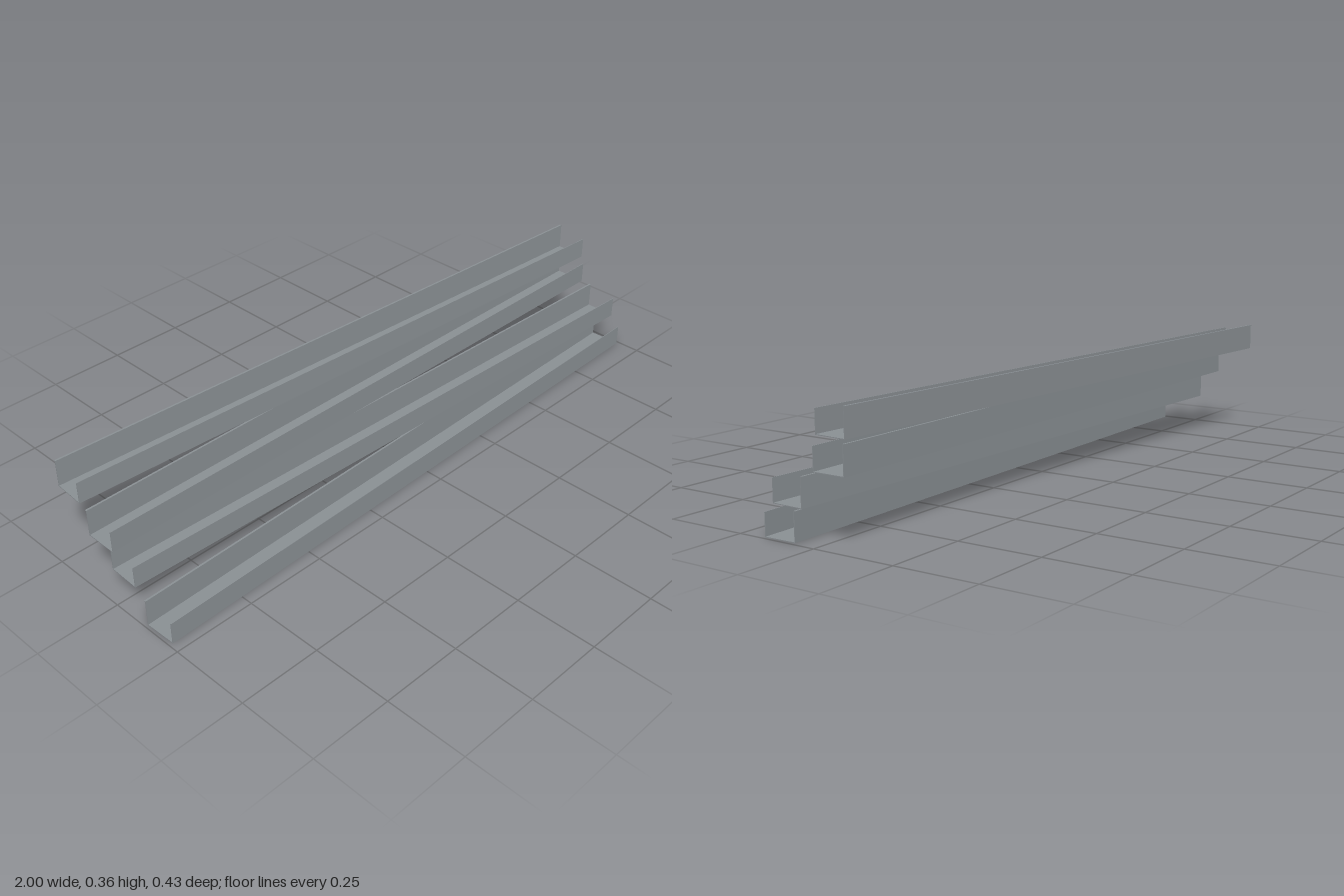
import * as THREE from 'three';

const LENGTH = 1.98;
const HALF_WIDTH = 0.05;
const FRONT_HEIGHT = 0.066;
const BACK_HEIGHT = 0.082;
const WALL = 0.002;
const LIP = 0.004;

// Thin J-shaped gutter section: low front wall, floor, tall back wall with a small outward lip
function channelGeometry() {
  const w = HALF_WIDTH;
  const section = new THREE.Shape([
    [-w, 0], [w, 0], [w, FRONT_HEIGHT], [w - WALL, FRONT_HEIGHT],
    [w - WALL, WALL], [-w + WALL, WALL], [-w + WALL, BACK_HEIGHT],
    [-w - LIP, BACK_HEIGHT], [-w - LIP, BACK_HEIGHT - WALL], [-w, BACK_HEIGHT - WALL],
  ].map(([z, y]) => new THREE.Vector2(z, y)));
  const geometry = new THREE.ExtrudeGeometry(section, { depth: LENGTH, bevelEnabled: false });
  geometry.translate(0, 0, -LENGTH / 2);
  geometry.rotateY(-Math.PI / 2); // section runs along x
  return geometry;
}

export function createModel() {
  const model = new THREE.Group();
  model.name = 'channelStack';

  const steel = new THREE.MeshStandardMaterial({ color: 0x8a9094 });
  steel.name = 'steelGrey';

  // Four channels stepped up and back; drift is the z change from the -x end to the +x end
  const channels = [
    { name: 'bottomChannel', x: 0, y: 0, z: 0.145, drift: -0.046 },
    { name: 'lowerMiddleChannel', x: 0.008, y: 0.094, z: 0.053, drift: 0.066 },
    { name: 'upperMiddleChannel', x: -0.008, y: 0.186, z: -0.039, drift: 0 },
    { name: 'topChannel', x: -0.008, y: 0.279, z: -0.104, drift: 0.117 },
  ];
  const geometry = channelGeometry();
  for (const { name, x, y, z, drift } of channels) {
    const channel = new THREE.Mesh(geometry, steel);
    channel.name = name;
    channel.position.set(x, y, z);
    channel.rotation.y = -Math.asin(drift / LENGTH);
    model.add(channel);
  }
  return model;
}
